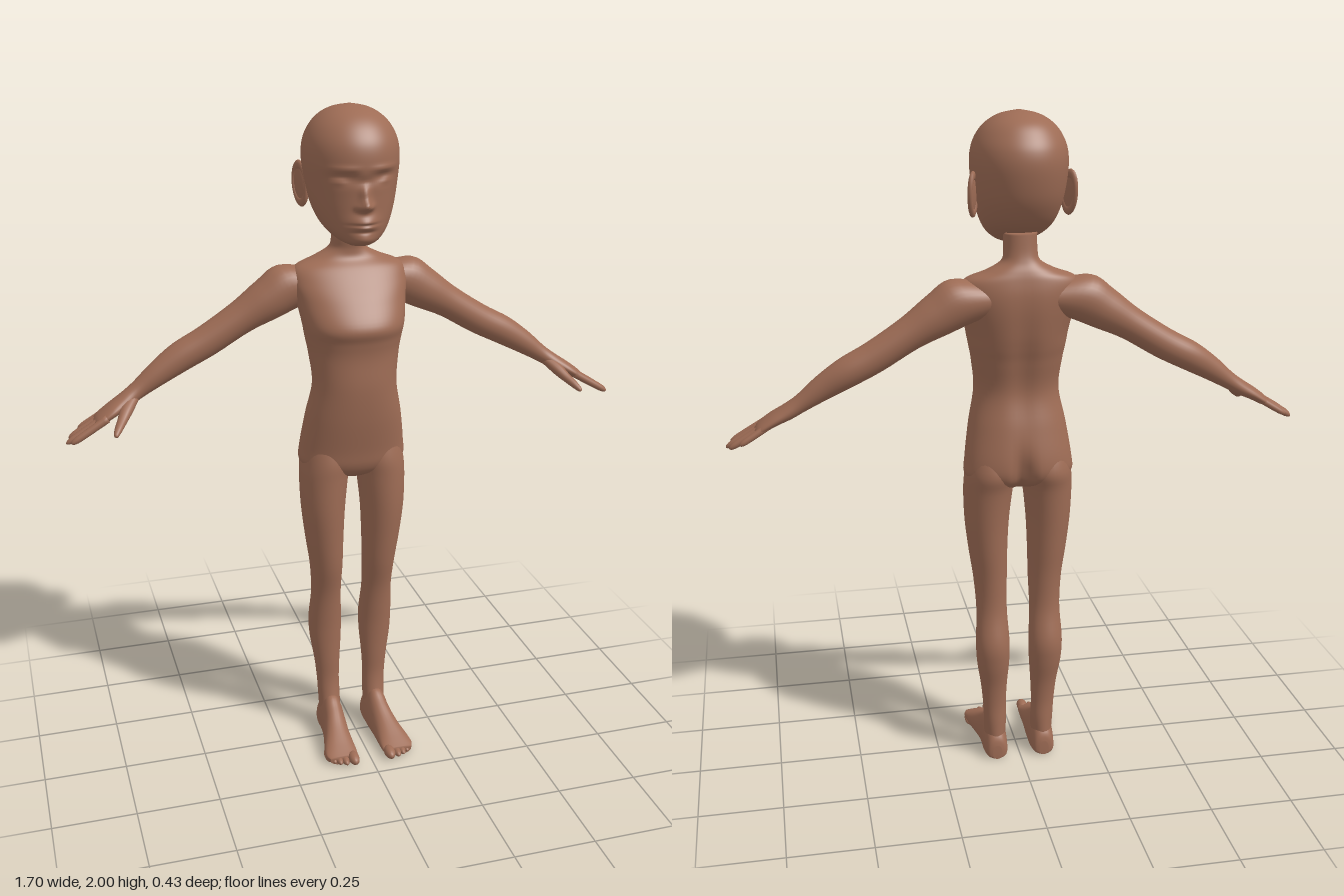
import * as THREE from 'three';

const skin = new THREE.MeshStandardMaterial({ color: 0x9e6c55 });
skin.name = 'warm brown';

// Smooth interpolation through rows of numbers, u in 0..1
function sample(rows, u) {
  const f = u * (rows.length - 1), i = Math.min(Math.floor(f), rows.length - 2), t = f - i;
  const at = k => rows[Math.max(0, Math.min(rows.length - 1, k))];
  const [a, b, c, d] = [at(i - 1), at(i), at(i + 1), at(i + 2)];
  return b.map((q, k) => 0.5 * (2 * q + (c[k] - a[k]) * t
    + (2 * a[k] - 5 * q + 4 * c[k] - d[k]) * t * t
    + (3 * q - a[k] - 3 * c[k] + d[k]) * t * t * t));
}

// Closed smooth skin over rings; ring(row, cos, sin) returns a point
function loft(name, rows, ring, around = 32, steps = 6, side = 1) {
  const n = (rows.length - 1) * steps, rings = [];
  for (let i = 0; i <= n; i++) {
    const row = sample(rows, i / n), pts = [];
    for (let j = 0; j < around; j++) {
      const a = (j / around) * Math.PI * 2;
      const p = ring(row, Math.cos(a), Math.sin(a));
      pts.push(new THREE.Vector3(p[0] * side, p[1], p[2]));
    }
    rings.push(pts);
  }
  const cap = r => {
    const c = new THREE.Vector3();
    r.forEach(p => c.add(p));
    c.divideScalar(around);
    return r.map(() => c.clone());
  };
  rings.unshift(cap(rings[0]));
  rings.push(cap(rings[rings.length - 1]));
  const pts = rings.flat(), idx = [];
  let volume = 0;
  const tri = (a, b, c) => {
    idx.push(a, b, c);
    volume += pts[a].dot(new THREE.Vector3().crossVectors(pts[b], pts[c]));
  };
  for (let i = 0; i < rings.length - 1; i++) for (let j = 0; j < around; j++) {
    const k = (j + 1) % around, r = i * around, s = r + around;
    if (i > 0) tri(r + j, r + k, s + j);
    if (i < rings.length - 2) tri(r + k, s + k, s + j);
    else if (i === 0) tri(r + k, s + k, s + j);
  }
  if (volume < 0) idx.reverse();
  const geo = new THREE.BufferGeometry().setFromPoints(pts);
  geo.setIndex(idx);
  geo.computeVertexNormals();
  const mesh = new THREE.Mesh(geo, skin);
  mesh.name = name;
  return mesh;
}

const power = (v, e) => Math.sign(v) * Math.abs(v) ** e;
const bump = (x, y, cx, cy, sx, sy) => Math.exp(-(((x - cx) / sx) ** 2) - ((y - cy) / sy) ** 2);

// Upright section: [y, centre x, half width, front z, back z]
const upright = (e = 1) => ([y, cx, hx, zf, zb], c, s) =>
  [cx + hx * power(c, e), y, (zf + zb) / 2 + (zf - zb) / 2 * power(s, e)];

// Limb section: [x, y, z, half thickness, half breadth]
function limb(name, rows, side, around = 16, steps = 5) {
  const N = new THREE.Vector3(0.5, 0.866, 0), last = rows[rows.length - 1];
  const T = new THREE.Vector3(last[0] - rows[0][0], last[1] - rows[0][1], last[2] - rows[0][2]);
  const B = T.cross(N).normalize();
  return loft(name, rows, ([x, y, z, a, b], c, s) =>
    [x + N.x * a * s + B.x * b * c, y + N.y * a * s + B.y * b * c, z + B.z * b * c], around, steps, side);
}

function finger(name, from, to, r, side) {
  const rows = [[0, 1], [0.35, 0.95], [0.65, 0.9], [0.85, 0.8], [0.96, 0.5], [1, 0.1]].map(([t, k]) =>
    [...from.map((v, i) => v + (to[i] - v) * t), r * k, r * k]);
  return limb(name, rows, side, 12, 3);
}

function makeTorso() {
  const rows = [
    [1.67, 0, 0.048, -0.03, -0.125], [1.62, 0, 0.048, -0.035, -0.13], [1.59, 0, 0.056, -0.04, -0.138],
    [1.565, 0, 0.1, -0.035, -0.15], [1.54, 0, 0.16, -0.01, -0.158], [1.5, 0, 0.172, 0.022, -0.165],
    [1.45, 0, 0.163, 0.06, -0.165], [1.385, 0, 0.151, 0.1, -0.157], [1.34, 0, 0.143, 0.09, -0.147],
    [1.29, 0, 0.134, 0.083, -0.133], [1.2, 0, 0.126, 0.085, -0.116], [1.1, 0, 0.145, 0.075, -0.135],
    [1.0, 0, 0.16, 0.056, -0.152], [0.95, 0, 0.161, 0.047, -0.147], [0.92, 0, 0.12, 0.03, -0.12],
    [0.9, 0, 0.05, 0, -0.08]];
  const base = upright(0.9);
  return loft('torso and neck', rows, (row, c, s) => {
    const p = base(row, c, s);
    // Groove along the back, deeper towards the seat
    if (s < 0) p[2] -= s * (0.012 * bump(p[0], p[1], 0, 1.3, 0.035, 0.2) + 0.035 * bump(p[0], p[1], 0, 0.95, 0.025, 0.07));
    return p;
  }, 64, 6);
}

function makeHead() {
  const rows = [
    [1.625, 0, 0.03, 0.07, 0.01], [1.637, 0, 0.056, 0.084, -0.03], [1.66, 0, 0.083, 0.089, -0.09],
    [1.69, 0, 0.103, 0.09, -0.14], [1.73, 0, 0.118, 0.091, -0.175], [1.78, 0, 0.129, 0.093, -0.2],
    [1.85, 0, 0.137, 0.1, -0.215], [1.9, 0, 0.133, 0.094, -0.211], [1.94, 0, 0.116, 0.072, -0.19],
    [1.97, 0, 0.089, 0.04, -0.162], [1.99, 0, 0.053, -0.002, -0.12], [2.0, 0, 0.008, -0.05, -0.07]];
  const base = upright(0.96);
  return loft('head', rows, (row, c, s) => {
    const p = base(row, c, s), x = Math.abs(p[0]), y = p[1];
    if (s > 0) p[2] += s * (
      0.03 * bump(x, y, 0, 1.742, 0.016, 0.016) + 0.016 * bump(x, y, 0, 1.77, 0.013, 0.03)   // nose
      + 0.01 * bump(x, y, 0.018, 1.737, 0.01, 0.009)                                          // nostrils
      - 0.016 * bump(x, y, 0.06, 1.815, 0.034, 0.016) - 0.008 * bump(x, y, 0, 1.805, 0.02, 0.014) // sockets
      + 0.011 * bump(x, y, 0.066, 1.808, 0.022, 0.009)                                        // eyelids
      + 0.006 * bump(x, y, 0.06, 1.842, 0.04, 0.008)                                          // brows
      + 0.02 * bump(x, y, 0, 1.69, 0.036, 0.022) - 0.009 * bump(x, y, 0, 1.688, 0.034, 0.004) // lips
      - 0.006 * bump(x, y, 0, 1.667, 0.03, 0.006) + 0.008 * bump(x, y, 0, 1.645, 0.03, 0.014)); // chin
    return p;
  }, 128, 10);
}

function makeEar(side) {
  const ear = new THREE.Group();
  ear.name = side > 0 ? 'left ear' : 'right ear';
  const rim = new THREE.Mesh(new THREE.TorusGeometry(0.027, 0.007, 10, 32), skin);
  rim.name = 'ear rim';
  rim.scale.set(1, 1.95, 1);
  const bowl = new THREE.Mesh(new THREE.SphereGeometry(0.028, 24, 16), skin);
  bowl.name = 'ear bowl';
  bowl.scale.set(1, 1.9, 0.25);
  ear.add(rim, bowl);
  ear.position.set(side * 0.136, 1.778, -0.098);
  ear.rotation.set(-0.12, side * (Math.PI / 2 - 0.45), side * -0.08);
  return ear;
}

function makeArm(side) {
  const arm = new THREE.Group();
  arm.name = side > 0 ? 'left arm' : 'right arm';
  arm.add(limb('arm and palm', [
    [0.08, 1.49, -0.095, 0.05, 0.055], [0.17, 1.483, -0.1, 0.07, 0.064], [0.24, 1.445, -0.1, 0.062, 0.062],
    [0.32, 1.397, -0.102, 0.049, 0.053], [0.42, 1.335, -0.104, 0.046, 0.048], [0.5, 1.293, -0.104, 0.044, 0.045],
    [0.57, 1.25, -0.098, 0.036, 0.036], [0.63, 1.208, -0.093, 0.026, 0.03], [0.67, 1.182, -0.085, 0.023, 0.037],
    [0.71, 1.16, -0.076, 0.019, 0.046], [0.745, 1.138, -0.073, 0.015, 0.046], [0.76, 1.128, -0.073, 0.009, 0.04]], side, 32));
  const fingers = [[0.835, 1.084, -0.036, -0.028], [0.848, 1.076, -0.06, -0.055],
    [0.838, 1.081, -0.085, -0.086], [0.808, 1.098, -0.107, -0.116]];
  fingers.forEach(([x, y, z0, z1], i) =>
    arm.add(finger('finger ' + (i + 1), [0.728, 1.147, z0], [x, y, z1], i === 3 ? 0.0105 : 0.012, side)));
  arm.add(limb('thumb', [[0.645, 1.19, -0.085, 0.016, 0.02], [0.672, 1.165, -0.045, 0.018, 0.021],
    [0.69, 1.145, -0.01, 0.014, 0.015], [0.705, 1.13, 0.018, 0.011, 0.012], [0.714, 1.12, 0.036, 0.007, 0.007],
    [0.716, 1.118, 0.041, 0.002, 0.002]], side));
  return arm;
}

function makeLeg(side) {
  const leg = new THREE.Group();
  leg.name = side > 0 ? 'left leg' : 'right leg';
  leg.add(loft('thigh and shin', [
    [1.03, 0.08, 0.066, 0.03, -0.125], [0.96, 0.083, 0.076, 0.046, -0.145], [0.9, 0.09, 0.074, 0.047, -0.132],
    [0.8, 0.094, 0.067, 0.045, -0.12], [0.7, 0.091, 0.059, 0.035, -0.11], [0.6, 0.085, 0.051, 0.02, -0.1],
    [0.5, 0.083, 0.047, -0.005, -0.1], [0.4, 0.083, 0.052, -0.018, -0.122], [0.33, 0.082, 0.05, -0.023, -0.117],
    [0.25, 0.079, 0.041, -0.026, -0.1], [0.18, 0.077, 0.036, -0.028, -0.093], [0.12, 0.075, 0.035, -0.018, -0.095],
    [0.07, 0.075, 0.033, 0, -0.097]], upright(), 40, 5, side));
  // Foot sections: [z, centre x, half width, top y]
  leg.add(loft('foot', [
    [-0.106, 0.075, 0.014, 0.045], [-0.097, 0.075, 0.031, 0.075], [-0.06, 0.075, 0.038, 0.115],
    [-0.02, 0.075, 0.038, 0.128], [0.02, 0.077, 0.039, 0.106], [0.07, 0.083, 0.043, 0.077],
    [0.12, 0.089, 0.049, 0.052], [0.155, 0.091, 0.05, 0.036], [0.178, 0.088, 0.044, 0.026]],
  ([z, cx, hx, top], c, s) => [cx + hx * power(c, 0.85),
    s > 0 ? 0.022 + (top - 0.022) * s : 0.022 * (1 + power(s, 0.6)), z], 36, 5, side));
  // Toes: [x, tip z, radius]
  [[0.059, 0.213, 0.017], [0.085, 0.204, 0.012], [0.103, 0.196, 0.0115], [0.119, 0.184, 0.011], [0.132, 0.17, 0.0105]]
    .forEach(([x, z, r], i) => {
      const toe = new THREE.Mesh(new THREE.SphereGeometry(r, 16, 12), skin);
      toe.name = 'toe ' + (i + 1);
      toe.scale.z = 0.032 / r;
      toe.position.set(side * x, r + 0.001, z - 0.032);
      leg.add(toe);
    });
  return leg;
}

export function createModel() {
  const figure = new THREE.Group();
  figure.name = 'standing figure';
  figure.add(makeTorso(), makeHead());
  for (const side of [1, -1]) figure.add(makeEar(side), makeArm(side), makeLeg(side));
  return figure;
}
